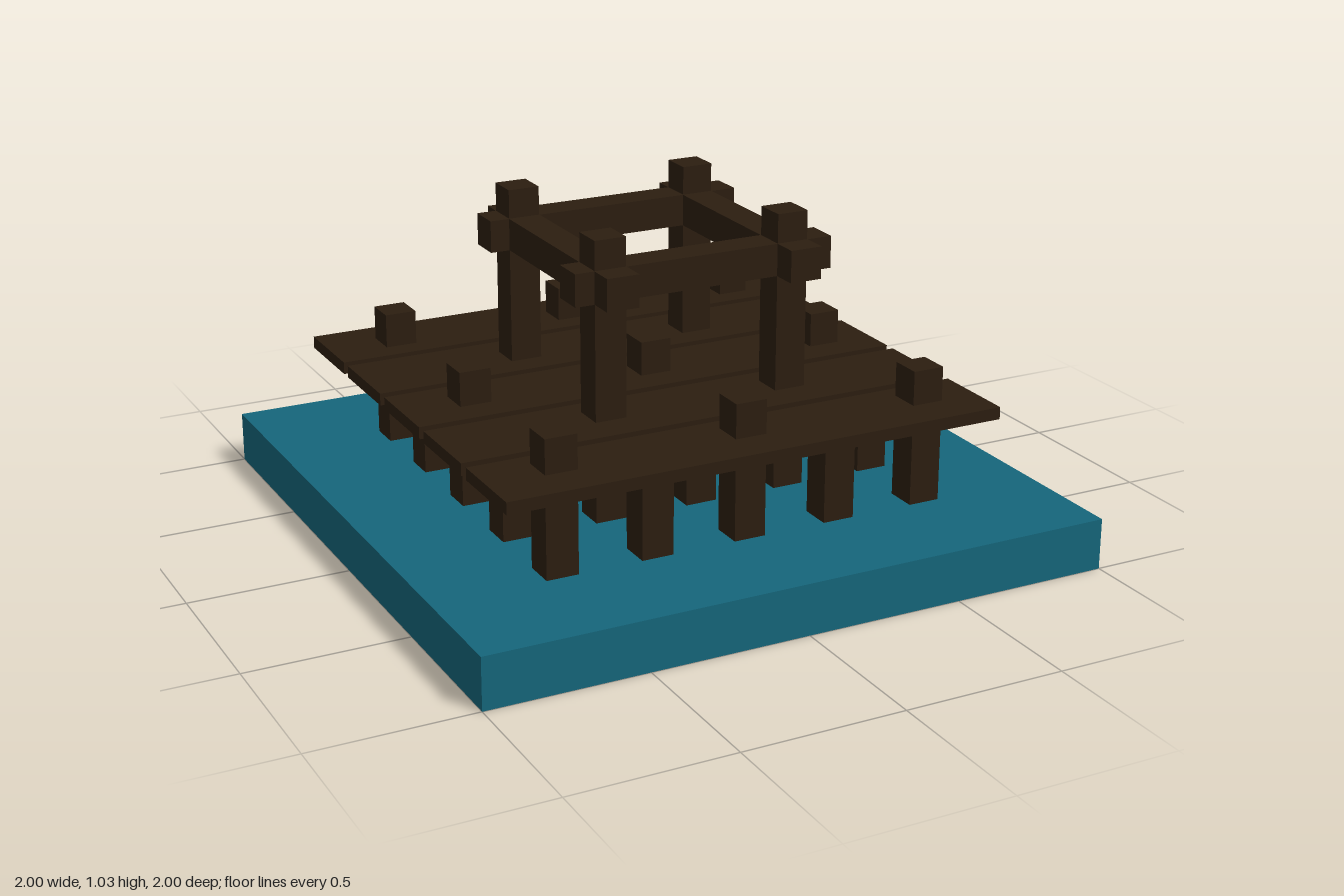
import * as THREE from 'three';

export function createModel() {
  const model = new THREE.Group();
  model.name = 'pier';
  const water = new THREE.MeshStandardMaterial({ color: 0x15667b });
  const wood = new THREE.MeshStandardMaterial({ color: 0x2c1e10 });

  // Box given by centre x/z, bottom y and size
  function box(name, material, [w, h, d], x, y, z) {
    const mesh = new THREE.Mesh(new THREE.BoxGeometry(w, h, d), material);
    mesh.name = name;
    mesh.position.set(x, y + h / 2, z);
    model.add(mesh);
  }

  const waterTop = 0.16, deckY = 0.44, post = 0.1;

  // Slab of water
  box('water', water, [2, waterTop, 2], 0, 0, 0);

  // Deck planks, slightly off centre from the posts
  for (let i = -2; i <= 2; i++) {
    box('deckPlank', wood, [1.595, 0.038, 0.278], -0.024, deckY, 0.01 + i * 0.313);
  }

  // Posts: tall frame corners, bollards through the deck, short piles below it
  for (let i = -2; i <= 2; i++) {
    for (let j = -2; j <= 2; j++) {
      const oddX = i % 2 !== 0, oddZ = j % 2 !== 0;
      let name = 'supportPile', top = deckY + 0.01;
      if (oddX && oddZ) { name = 'framePost'; top = 1.03; }
      else if (!oddX && !oddZ) { name = 'bollardPost'; top = 0.585; }
      box(name, wood, [post, top - waterTop, post], i * 0.3, waterTop, j * 0.3);
    }
  }

  // Crossed rails around the tall posts
  for (const side of [-0.3, 0.3]) {
    box('crossRail', wood, [0.845, 0.1, 0.102], 0.01, 0.84, side);
    box('sideRail', wood, [0.102, 0.1, 0.845], side, 0.84, 0.01);
  }

  return model;
}
